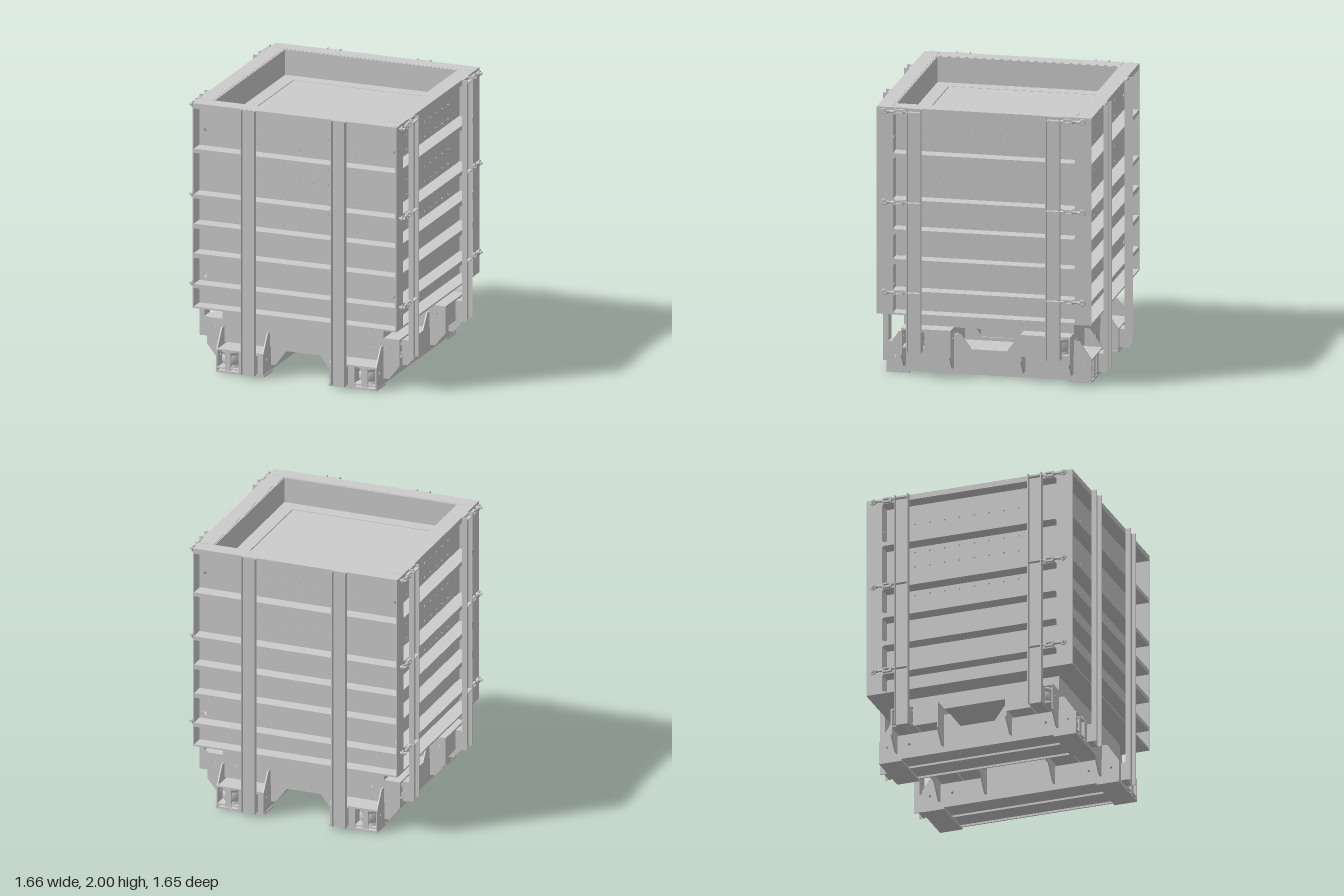
import * as THREE from 'three';

const mat = new THREE.MeshStandardMaterial({ color: 0xcccccc, side: THREE.DoubleSide });

function add(parent, name, geometry) {
  const mesh = new THREE.Mesh(geometry, mat);
  mesh.name = name;
  parent.add(mesh);
  return mesh;
}

// Box given by its limits on each axis
function box(parent, name, x0, x1, y0, y1, z0, z1) {
  const m = add(parent, name, new THREE.BoxGeometry(x1 - x0, y1 - y0, z1 - z0));
  m.position.set((x0 + x1) / 2, (y0 + y1) / 2, (z0 + z1) / 2);
}

const roundHole = ([x, y, r]) => new THREE.Path().absarc(x, y, r, 0, Math.PI * 2, true);

// Window with rounded corners
function windowHole(w, y0, y1, r) {
  return new THREE.Path()
    .absarc(-w + r, y0 + r, r, Math.PI * 1.5, Math.PI, true)
    .absarc(-w + r, y1 - r, r, Math.PI, Math.PI / 2, true)
    .absarc(w - r, y1 - r, r, Math.PI / 2, 0, true)
    .absarc(w - r, y0 + r, r, 0, -Math.PI / 2, true);
}

// Plate cut from an outline in x and y, placed at z
function plate(parent, name, points, z, holes) {
  const shape = new THREE.Shape(points.map(([x, y]) => new THREE.Vector2(x, y)));
  shape.holes.push(...holes);
  const geometry = new THREE.ExtrudeGeometry(shape, { depth: 0.01, bevelEnabled: false, curveSegments: 6 });
  add(parent, name, geometry).position.z = z;
}

const mirrored = (half) => [...half, ...half.map(([x, y]) => [-x, y]).reverse()];

const RIBS = [[1.96, 2], [1.63, 1.66], [1.29, 1.32], [1.065, 1.1], [0.845, 0.88], [0.62, 0.65], [0.47, 0.482]];
const HOLE_ROWS = [1.81, 1.7, 1.59, 1.475, 1.365, 1.25, 1.14];

// Ribbed wall facing +z: perforated sheet with a plain liner behind it
function wall(name, half, cornerHoles) {
  const g = new THREE.Group();
  g.name = name;
  const holes = [...cornerHoles];
  for (const y of HOLE_ROWS) {
    for (let i = -4; i <= 4; i++) holes.push([i * 0.1125, y, 0.008]);
  }
  plate(g, 'sheet', mirrored([[half, 0.47], [half, 1.999]]), 0.67, holes.map(roundHole));
  box(g, 'liner', -0.668, 0.668, 0.475, 1.998, 0.662, 0.669);
  for (const [y0, y1] of RIBS) box(g, 'rib', -half, half, y0, y1, 0.68, 0.785);
  return g;
}

// Channel post, open outward (+z)
function post(parent, x0, x1, y0) {
  const g = new THREE.Group();
  g.name = 'post';
  box(g, 'postWeb', x0, x1, y0, 2, 0.786, 0.796);
  for (const x of [x0, x1 - 0.006]) box(g, 'postFlange', x, x + 0.006, y0, 2, 0.786, 0.825);
  parent.add(g);
}

// Turnbuckle lying along x on a wall facing +z, s gives the end
function turnbuckle(parent, s, y) {
  const g = new THREE.Group();
  g.name = 'turnbuckle';
  const rod = (name, r0, r1, a, b) => {
    const m = add(g, name, new THREE.CylinderGeometry(r1, r0, b - a, 10));
    m.rotation.z = -Math.PI / 2;
    m.position.x = (a + b) / 2;
  };
  box(g, 'strap', 0.455, 0.57, -0.003, 0.003, -0.012, 0.018);
  rod('neck', 0.006, 0.015, 0.565, 0.595);
  rod('taper', 0.014, 0.007, 0.64, 0.69);
  rod('eyeNeck', 0.007, 0.013, 0.68, 0.705);
  for (const dy of [-0.013, 0.013]) box(g, 'body', 0.585, 0.65, dy - 0.005, dy + 0.005, -0.01, 0.01);
  for (const x of [0.585, 0.64]) box(g, 'bodyEnd', x, x + 0.012, -0.017, 0.017, -0.013, 0.013);
  add(g, 'eye', new THREE.TorusGeometry(0.017, 0.007, 8, 16)).position.x = 0.725;
  const pin = add(g, 'eyePin', new THREE.CylinderGeometry(0.01, 0.01, 0.044, 10));
  pin.rotation.x = Math.PI / 2;
  pin.position.x = 0.725;
  g.position.set(0, y, 0.808);
  if (s < 0) g.rotation.z = Math.PI;
  parent.add(g);
}

// Upright spool inside the beam ends
function spool() {
  const pts = [[0, -0.068], [0.072, -0.068], [0.072, -0.05], [0.06, -0.042], [0.06, -0.028], [0.07, -0.02],
    [0.07, 0.02], [0.06, 0.028], [0.06, 0.042], [0.072, 0.05], [0.072, 0.068], [0, 0.068]];
  return new THREE.LatheGeometry(pts.map(([r, y]) => new THREE.Vector2(r, y)), 20);
}

// Beam along x on the +z half: a closed box beside an open channel,
// with side plates that carry the gussets
function beam(name, outline, holes, y0, y1, end) {
  const g = new THREE.Group();
  g.name = name;
  for (const z of [0.255, 0.608]) plate(g, 'sidePlate', mirrored(outline), z, holes.map(roundHole));
  box(g, 'innerWeb', -end, end, y0, y1, 0.435, 0.447);
  box(g, 'bottomPlate', -end, end, y0 + 0.015, y0 + 0.025, 0.26, 0.612);
  box(g, 'topPlate', -end, end, y1 - 0.012, y1, 0.26, 0.612);
  for (const s of [-1, 1]) {
    const x = s * (end - 0.075);
    add(g, 'spool', spool()).position.set(x, (y0 + y1) / 2, 0.527);
    box(g, 'spoolKeeper', x - 0.076, x + 0.076, y0 + 0.005, y1 - 0.01, 0.505, 0.549);
    box(g, 'endPlate', s * (end - 0.006) - 0.006, s * (end - 0.006) + 0.006, y0, y1, 0.26, 0.44);
  }
  return g;
}

export function createModel() {
  const model = new THREE.Group();
  model.name = 'mouldBox';
  const cornerHoles = [-0.735, 0.735].flatMap((x) => [[x, 1.775, 0.014], [x, 0.69, 0.014]]);
  const railHoles = [-0.69, -0.52, 0.52, 0.69].map((x) => [x, 0.12, 0.009]);
  const crossHoles = [-0.685, -0.52, 0.52, 0.685].map((x) => [x, 0.295, 0.009]);
  const railOutline = [[0.75, 0.015], [0.75, 0.17], [0.66, 0.305], [0.62, 0.305], [0.62, 0.2],
    [0.26, 0.2], [0.26, 0.31], [0.21, 0.31], [0.13, 0.2]];
  const crossOutline = [[0.13, 0.175], [0.215, 0.06], [0.25, 0.06], [0.25, 0.19], [0.62, 0.19],
    [0.62, 0.06], [0.66, 0.06], [0.74, 0.16], [0.74, 0.36]];
  const windows = RIBS.slice(1).map((rib, i) => windowHole(0.664, rib[1], RIBS[i][0], 0.018));

  for (const turn of [0, Math.PI]) {
    // Front and back walls with long posts
    const front = wall(turn ? 'backWall' : 'frontWall', 0.778, cornerHoles);
    for (const s of [-1, 1]) {
      post(front, s * 0.347 - 0.053, s * 0.347 + 0.053, 0.025);
      box(front, 'postFoot', s * 0.347 - 0.05, s * 0.347 + 0.05, 0.027, 0.165, 0.745, 0.786);
    }
    front.rotation.y = turn;
    model.add(front);

    // Side walls with a windowed face, shorter posts and turnbuckles
    const side = wall(turn ? 'rightWall' : 'leftWall', 0.668, []);
    plate(side, 'windowedFace', mirrored([[0.785, 0.47], [0.785, 2]]), 0.776, windows);
    for (const s of [-1, 1]) {
      post(side, s * 0.508 - 0.052, s * 0.508 + 0.052, 0.2);
      box(side, 'postFoot', s * 0.508 - 0.05, s * 0.508 + 0.05, 0.2, 0.345, 0.735, 0.786);
      for (const y of [1.975, 1.305, 0.64]) turnbuckle(side, s, y);
    }
    side.rotation.y = turn + Math.PI / 2;
    model.add(side);

    // Lower rails run front to back, cross beams run side to side above them
    const rail = beam('lowerRail', railOutline, railHoles, 0.015, 0.175, 0.75);
    for (const s of [-1, 1]) box(rail, 'shoe', s * 0.665 - 0.085, s * 0.665 + 0.085, 0, 0.015, 0.25, 0.62);
    rail.rotation.y = turn + Math.PI / 2;
    const cross = beam('crossBeam', crossOutline, crossHoles, 0.2, 0.36, 0.74);
    cross.rotation.y = turn;
    model.add(rail, cross);

    // Skirt between the cross beams and the box
    for (const a of [0, Math.PI / 2]) {
      const skirt = new THREE.Group();
      skirt.name = 'skirt';
      box(skirt, 'skirtPlate', -0.62, 0.62, 0.355, 0.475, 0.605, 0.62);
      skirt.rotation.y = turn + a;
      model.add(skirt);
    }
  }

  // Floor of the tray with a narrow groove, and the bottom of the box
  box(model, 'bottomPlate', -0.78, 0.78, 0.47, 0.48, -0.78, 0.78);
  box(model, 'trayFloor', -0.553, 0.553, 1.78, 1.81, -0.553, 0.553);
  box(model, 'grooveBed', -0.67, 0.67, 1.77, 1.785, -0.67, 0.67);
  for (const s of [-1, 1]) {
    const c = s * 0.615;
    box(model, 'trayBorder', -0.67, 0.67, 1.78, 1.81, c - 0.055, c + 0.055);
    box(model, 'trayBorder', c - 0.055, c + 0.055, 1.78, 1.81, -0.56, 0.56);
  }
  return model;
}
